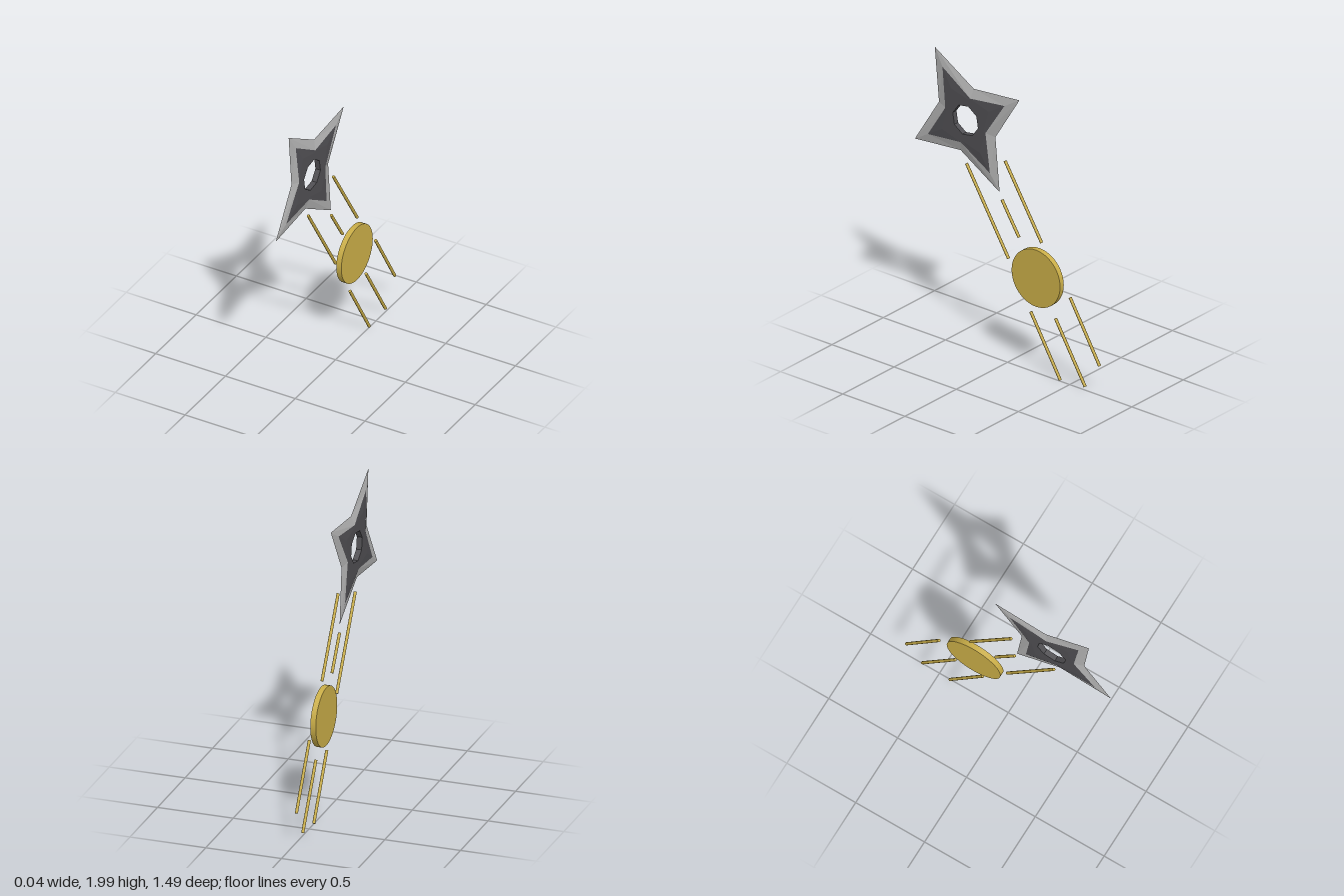
import * as THREE from 'three';

const steel = new THREE.MeshStandardMaterial({ color: 0xb2b2b2 });
steel.name = 'steelEdge';
const dark = new THREE.MeshStandardMaterial({ color: 0x504f53 });
dark.name = 'darkSteel';
const gold = new THREE.MeshStandardMaterial({ color: 0xcaae48 });
gold.name = 'gold';
steel.flatShading = dark.flatShading = true;

// Eight-point ring in the zy plane, alternating tip and valley radii
function ring(tip, valley, tipX, valleyX) {
  const points = [];
  for (let i = 0; i < 8; i++) {
    const a = THREE.MathUtils.degToRad(58.2 + 45 * i);
    const r = i % 2 ? valley : tip;
    points.push([i % 2 ? valleyX : tipX, r * Math.sin(a), r * Math.cos(a)]);
  }
  return points;
}

// Faceted surface through pairs of rings
function strips(pairs) {
  const pos = [];
  for (const [a, b] of pairs) {
    for (let i = 0; i < 8; i++) {
      const j = (i + 1) % 8;
      for (const p of [a[i], a[j], b[i], a[j], b[j], b[i]]) pos.push(...p);
    }
  }
  const geo = new THREE.BufferGeometry();
  geo.setAttribute('position', new THREE.Float32BufferAttribute(pos, 3));
  geo.computeVertexNormals();
  return geo;
}

function add(parent, name, geo, material) {
  const mesh = new THREE.Mesh(geo, material);
  mesh.name = name;
  parent.add(mesh);
  return mesh;
}

export function createModel() {
  const model = new THREE.Group();
  model.name = 'throwingStarAndCoin';

  // Four-pointed star with a pierced centre and bevelled edges
  const star = new THREE.Group();
  star.name = 'star';
  star.position.set(0.002, 1.577, 0.323);
  const edge = ring(0.495, 0.233, 0, 0);
  const side = (s) => ({
    border: ring(0.362, 0.166, s * 0.01, s * 0.018),
    plateau: ring(0.22, 0.15, s * 0.018, s * 0.018),
    hole: ring(0.104, 0.104, s * 0.018, s * 0.018),
  });
  const L = side(1), R = side(-1);
  add(star, 'starBody', strips([
    [R.border, R.plateau], [R.plateau, R.hole], [R.hole, L.hole],
    [L.hole, L.plateau], [L.plateau, L.border],
  ]), dark);
  add(star, 'starBlade', strips([[edge, R.border], [L.border, edge]]), steel);
  model.add(star);

  // Coin
  const coin = add(model, 'coin', new THREE.CylinderGeometry(0.195, 0.195, 0.036, 48), gold);
  coin.rotation.z = Math.PI / 2;
  coin.position.set(-0.003, 0.66, -0.24);

  // Speed streaks: z, y of the upper end, then of the lower end
  const streaks = [
    [0.333, 1.27, -0.006, 0.718],
    [0.047, 1.107, -0.09, 0.89],
    [0.022, 1.382, -0.272, 0.908],
    [-0.184, 0.408, -0.422, 0.008],
    [-0.383, 0.422, -0.622, 0.025],
    [-0.501, 0.602, -0.738, 0.203],
  ];
  streaks.forEach(([z1, y1, z2, y2], i) => {
    const top = new THREE.Vector3(-0.003, y1, z1);
    const bottom = new THREE.Vector3(-0.003, y2, z2);
    const dir = top.clone().sub(bottom);
    const rod = add(model, 'streak' + (i + 1),
      new THREE.CylinderGeometry(0.01, 0.01, dir.length(), 8), gold);
    rod.position.copy(top).add(bottom).multiplyScalar(0.5);
    rod.quaternion.setFromUnitVectors(new THREE.Vector3(0, 1, 0), dir.normalize());
  });
  return model;
}
